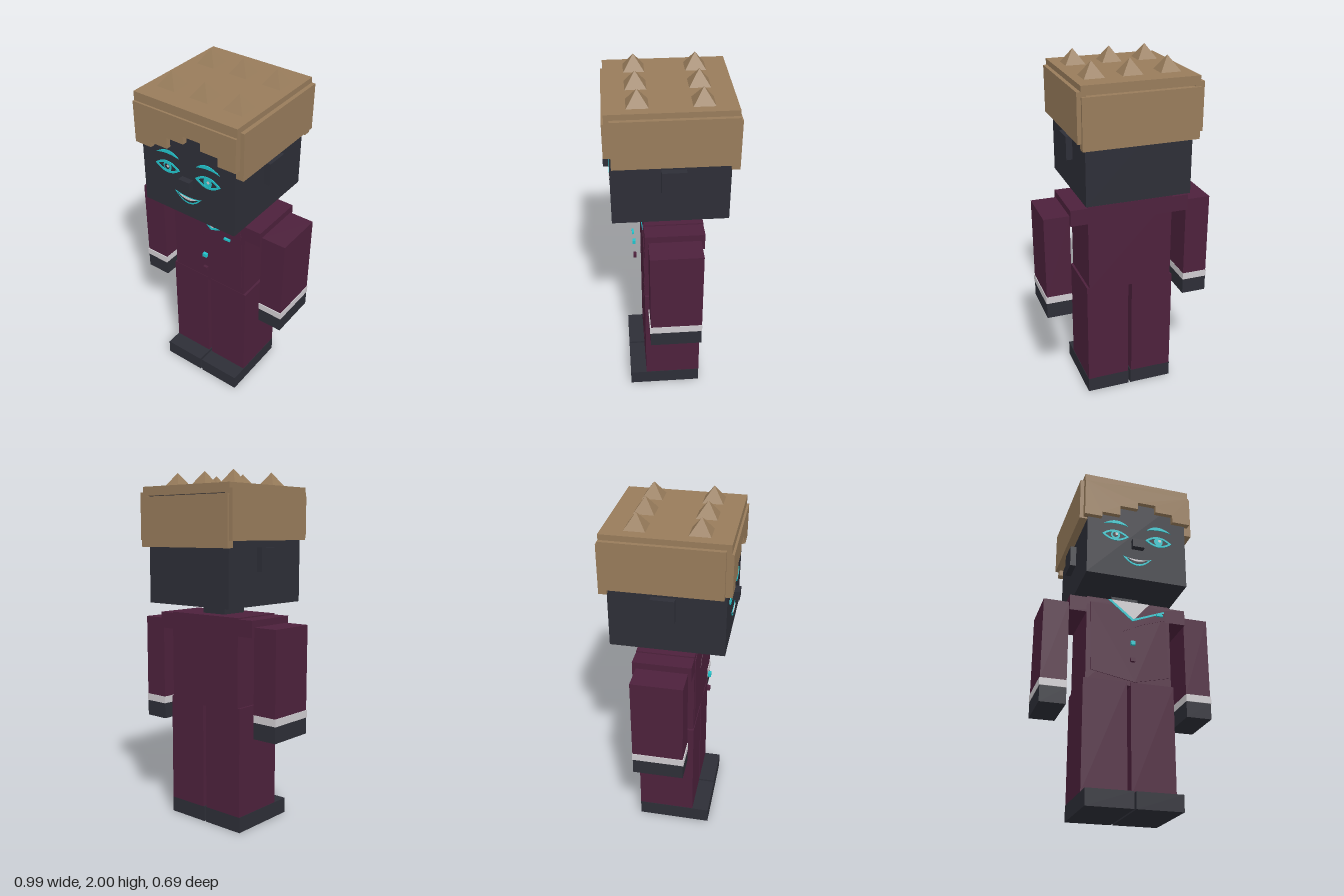
import * as THREE from 'three';

const mat = (name, color) => {
  const m = new THREE.MeshStandardMaterial({ color });
  m.name = name;
  return m;
};

export function createModel() {
  const model = new THREE.Group();
  model.name = 'blockyFigure';
  const skin = mat('charcoal', 0x2d2e37);
  const suit = mat('plumSuit', 0x4d213c);
  const hair = mat('tanHair', 0x987c5b);
  const shirt = mat('paleGrey', 0xcfccd0);
  const teal = mat('teal', 0x22c4cc);

  const add = (name, geo, m) => {
    const mesh = new THREE.Mesh(geo, m);
    mesh.name = name;
    model.add(mesh);
    return mesh;
  };
  // Box given by its minimum and maximum on each axis
  const box = (name, m, x0, x1, y0, y1, z0, z1) =>
    add(name, new THREE.BoxGeometry(x1 - x0, y1 - y0, z1 - z0), m)
      .position.set((x0 + x1) / 2, (y0 + y1) / 2, (z0 + z1) / 2);
  // Flat outline pushed forward from z by depth
  const plate = (name, m, shape, z, depth) =>
    add(name, new THREE.ExtrudeGeometry(shape, { depth, bevelEnabled: false, curveSegments: 10 }), m)
      .position.z = z;
  const poly = (pts) => new THREE.Shape(pts.map(([x, y]) => new THREE.Vector2(x, y)));

  // Head, neck and nose
  box('head', skin, -0.295, 0.295, 1.275, 1.89, -0.31, 0.31);
  box('neck', skin, -0.08, 0.08, 1.2, 1.29, -0.1, 0.07);
  box('nose', skin, -0.035, 0.035, 1.465, 1.517, 0.3, 0.345);

  // Torso
  box('torso', suit, -0.247, 0.247, 0.7, 1.215, -0.18, 0.142);
  box('shoulders', suit, -0.345, 0.345, 1.115, 1.208, -0.18, 0.142);

  // Limbs, mirrored left and right
  for (const [side, s] of [['left', 1], ['right', -1]]) {
    const pair = (name, m, x0, x1, ...yz) =>
      box(side + name, m, Math.min(s * x0, s * x1), Math.max(s * x0, s * x1), ...yz);
    pair('Ear', skin, 0.29, 0.33, 1.46, 1.59, -0.08, 0.048);
    pair('HairPanel', hair, 0.29, 0.34, 1.627, 1.89, -0.333, 0.3);
    pair('Sleeve', suit, 0.344, 0.49, 0.69, 1.17, -0.16, 0.124);
    pair('Cuff', shirt, 0.343, 0.494, 0.65, 0.692, -0.161, 0.129);
    pair('Hand', skin, 0.344, 0.491, 0.557, 0.65, -0.159, 0.125);
    pair('Leg', suit, 0.011, 0.26, 0.088, 0.715, -0.18, 0.145);
    pair('Shoe', skin, 0.006, 0.262, 0, 0.09, -0.18, 0.242);
  }
  // Fills the top of the gap between the legs
  box('crotch', suit, -0.02, 0.02, 0.695, 0.715, -0.18, 0.142);

  // Hair: crown, back and stepped fringe
  box('hairCrown', hair, -0.318, 0.318, 1.87, 1.92, -0.333, 0.325);
  box('hairBack', hair, -0.318, 0.318, 1.59, 1.865, -0.348, -0.305);
  plate('fringe', hair, poly([
    [-0.318, 1.87], [-0.318, 1.637], [-0.215, 1.637], [-0.215, 1.667], [-0.107, 1.667],
    [-0.107, 1.73], [0, 1.73], [0, 1.775], [0.107, 1.775], [0.107, 1.73],
    [0.212, 1.73], [0.212, 1.682], [0.318, 1.682], [0.318, 1.87],
  ]), 0.297, 0.04);

  // Six square spikes on the crown
  for (const x of [-0.202, 0.005, 0.211]) {
    for (const z of [-0.165, 0.16]) {
      const geo = new THREE.ConeGeometry(0.0785, 0.08, 4).rotateY(Math.PI / 4).toNonIndexed();
      geo.computeVertexNormals();
      add('hairSpike', geo, hair).position.set(x, 1.96, z);
    }
  }

  // Lens outline with curved upper and lower lids
  const lens = (cx, cy, w, h, Type) => {
    const p = new Type();
    p.moveTo(cx - w, cy);
    p.quadraticCurveTo(cx, cy - 2 * h, cx + w, cy);
    p.quadraticCurveTo(cx, cy + 2 * h, cx - w, cy);
    return p;
  };
  const disc = (name, m, x, y, r, z) =>
    add(name, new THREE.CircleGeometry(r, 20), m).position.set(x, y, z);

  // Eyes and brows
  for (const [side, x, s] of [['right', -0.13, -1], ['left', 0.13, 1]]) {
    const rim = lens(x, 1.54, 0.08, 0.035, THREE.Shape);
    rim.holes.push(lens(x, 1.54, 0.062, 0.023, THREE.Path));
    plate(side + 'EyeRim', teal, rim, 0.309, 0.005);
    disc(side + 'Iris', teal, x, 1.542, 0.027, 0.313);
    if (s < 0) disc('rightPupil', skin, x - 0.002, 1.542, 0.016, 0.315);
    disc(side + 'EyeGlint', shirt, x + 0.006, 1.547, 0.009, 0.317);

    const brow = new THREE.Shape();
    brow.moveTo(x - 0.072, 1.608);
    brow.quadraticCurveTo(x - s * 0.01, 1.672, x + 0.076, 1.612);
    brow.quadraticCurveTo(x, 1.632, x - 0.072, 1.608);
    plate(side + 'Brow', teal, brow, 0.309, 0.005);
  }

  // Smiling mouth: teal lips, dark gap, pale teeth
  const smile = (x, y, sag, lip) => {
    const p = new THREE.Shape();
    p.moveTo(-x, y);
    p.quadraticCurveTo(0, y - sag, x, y);
    p.quadraticCurveTo(0, y - lip, -x, y);
    return p;
  };
  plate('lips', teal, smile(0.085, 1.412, 0.104, 0.025), 0.309, 0.004);
  plate('mouthGap', skin, smile(0.066, 1.403, 0.064, 0.018), 0.309, 0.006);
  plate('teeth', shirt, smile(0.055, 1.401, 0.032, 0.008), 0.309, 0.008);

  // Jacket front, lapel and shirt opening
  plate('jacketFront', suit, poly([
    [-0.228, 1.18], [-0.217, 0.765], [0.035, 0.718], [0.235, 0.765], [0.22, 1.18], [0.1, 1.21], [-0.1, 1.21],
  ]), 0.14, 0.006);
  plate('lapel', suit, poly([
    [-0.05, 1.012], [0.08, 1.075], [0.225, 1.125], [0.214, 1.172], [0.025, 1.095],
  ]), 0.14, 0.008);
  plate('shirtFront', shirt, poly([[-0.118, 1.213], [0.024, 1.095], [0.125, 1.213]]), 0.14, 0.008);
  plate('lapelTrim', teal, poly([
    [-0.122, 1.21], [0.022, 1.09], [0.216, 1.168], [0.212, 1.179], [0.027, 1.105], [-0.106, 1.213],
  ]), 0.141, 0.009);

  // Buttons and breast pocket accent, standing off the jacket
  box('upperButton', teal, -0.003, 0.023, 0.92, 0.943, 0.183, 0.2);
  box('lowerButton', suit, -0.003, 0.023, 0.82, 0.843, 0.18, 0.197);
  box('pocketAccent', teal, 0.15, 0.188, 1.117, 1.129, 0.194, 0.205);

  return model;
}
